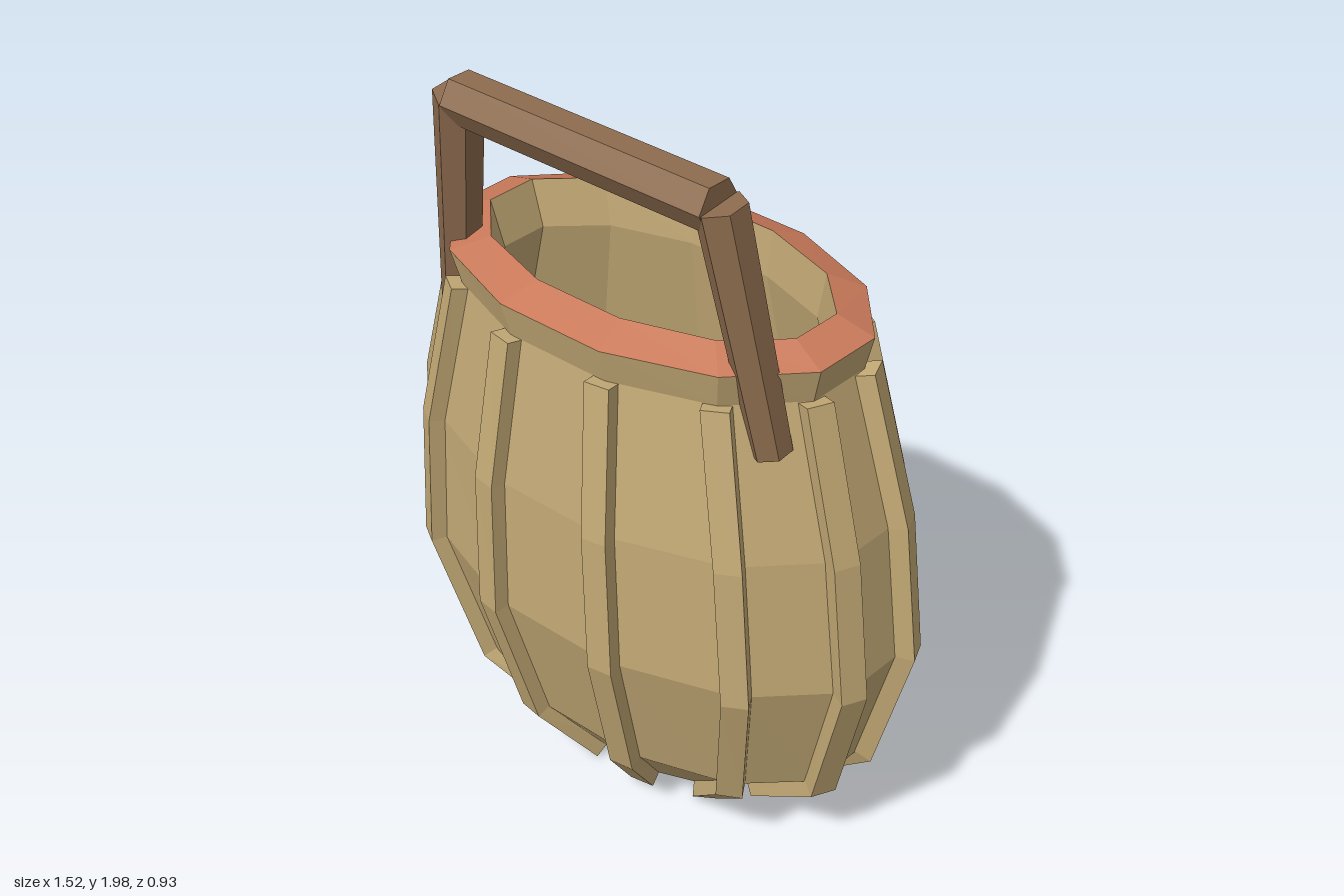
import * as THREE from 'three';

const mat = (name, color) => {
  const m = new THREE.MeshStandardMaterial({ color });
  m.name = name;
  return m;
};

const SIDES = 12;
const HALF = Math.PI / SIDES;

// Flat-faceted skin through a list of closed rings, with optional end caps
function loft(rings, capStart, capEnd) {
  const pos = [];
  const tri = (...pts) => pts.forEach((p) => pos.push(p.x, p.y, p.z));
  const n = rings[0].length;
  for (let i = 0; i < rings.length - 1; i++) {
    for (let j = 0; j < n; j++) {
      const k = (j + 1) % n;
      const lo = rings[i], hi = rings[i + 1];
      tri(lo[j], hi[j], hi[k]);
      tri(lo[j], hi[k], lo[k]);
    }
  }
  const first = rings[0], last = rings[rings.length - 1];
  for (let j = 1; j < n - 1; j++) {
    if (capStart) tri(first[0], first[j], first[j + 1]);
    if (capEnd) tri(last[0], last[j + 1], last[j]);
  }
  const g = new THREE.BufferGeometry();
  g.setAttribute('position', new THREE.Float32BufferAttribute(pos, 3));
  g.computeVertexNormals();
  return g;
}

// Corner j of the oval ring [height, half width, half depth, z centre]
function corner([y, hx, hz, cz], j) {
  const a = HALF * (2 * j + 1), s = 1 / Math.cos(HALF);
  return new THREE.Vector3(hx * s * Math.cos(a), y, cz + hz * s * Math.sin(a));
}
const oval = (level) => Array.from({ length: SIDES }, (_, j) => corner(level, j));

// Profile levels, bottom to top, leaning slightly forward
const wall = [
  [0.045, 0.345, 0.235, -0.07],
  [0.24, 0.6, 0.345, -0.03],
  [0.63, 0.715, 0.425, -0.003],
  [1.02, 0.68, 0.415, 0.01],
  [1.43, 0.575, 0.355, 0.02],
];
const lip = [1.525, 0.6, 0.375, 0.025];
const mouth = [1.56, 0.5, 0.28, 0.02];
const inside = [
  mouth,
  [1.43, 0.47, 0.262, 0.01],
  [1.02, 0.58, 0.33, 0.005],
  [0.63, 0.6, 0.335, -0.005],
  [0.24, 0.5, 0.26, -0.03],
];
const floor = [0.1, 0.305, 0.18, -0.04];

// Rectangular batten following one corner of the wall
function ribGeometry(j) {
  const path = wall.map((l) => corner(l, j));
  const a = HALF * (2 * j + 1);
  const rings = path.map((p, i) => {
    const [, hx, hz] = wall[i];
    const t = new THREE.Vector3(-hx * Math.sin(a), 0, hz * Math.cos(a)).normalize();
    const up = path[Math.min(i + 1, path.length - 1)].clone().sub(path[Math.max(i - 1, 0)]);
    const out = up.cross(t).normalize();
    return [[0.035, -1], [0.035, 1], [-0.03, 1], [-0.03, -1]].map(([o, s]) =>
      p.clone().addScaledVector(out, o).addScaledVector(t, s * 0.035));
  });
  return loft(rings, true, true);
}

// Six-sided bar between two points
function bar(from, to, rFrom, rTo) {
  const dir = to.clone().sub(from);
  const g = new THREE.CylinderGeometry(rTo, rFrom, dir.length(), 6).toNonIndexed();
  g.computeVertexNormals();
  g.applyQuaternion(new THREE.Quaternion().setFromUnitVectors(
    new THREE.Vector3(0, 1, 0), dir.clone().normalize()));
  const mid = from.clone().add(to).multiplyScalar(0.5);
  return g.translate(mid.x, mid.y, mid.z);
}

export function createModel() {
  const model = new THREE.Group();
  model.name = 'basket';
  const straw = mat('straw', 0xc4aa76);
  const wood = mat('brown wood', 0x8d6c4e);
  const clay = mat('orange rim', 0xca7a5a);
  const add = (name, geometry, material, parent = model) => {
    const mesh = new THREE.Mesh(geometry, material);
    mesh.name = name;
    parent.add(mesh);
  };

  // Barrel wall with its flared collar, sloping rim and hollow inside
  add('outerWall', loft([...wall, lip].map(oval), true, false), straw);
  add('rim', loft([lip, mouth].map(oval), false, false), clay);
  add('innerWall', loft(inside.map(oval), false, false), straw);
  add('innerFloor', loft([inside[inside.length - 1], floor].map(oval), false, true), wood);

  // Battens on every corner
  const ribs = new THREE.Group();
  ribs.name = 'ribs';
  for (let j = 0; j < SIDES; j++) add('rib', ribGeometry(j), straw, ribs);
  model.add(ribs);

  // Handle leaning forward
  const handle = new THREE.Group();
  handle.name = 'handle';
  const v = (x, y, z) => new THREE.Vector3(x, y, z);
  add('handleGrip', bar(v(-0.408, 1.942, 0.268), v(0.408, 1.942, 0.268), 0.067, 0.067), wood, handle);
  for (const s of [-1, 1]) {
    add(s > 0 ? 'leftHandleLeg' : 'rightHandleLeg',
      bar(v(s * 0.518, 1.305, 0.195), v(s * 0.412, 1.948, 0.268), 0.052, 0.065), wood, handle);
  }
  model.add(handle);
  return model;
}
